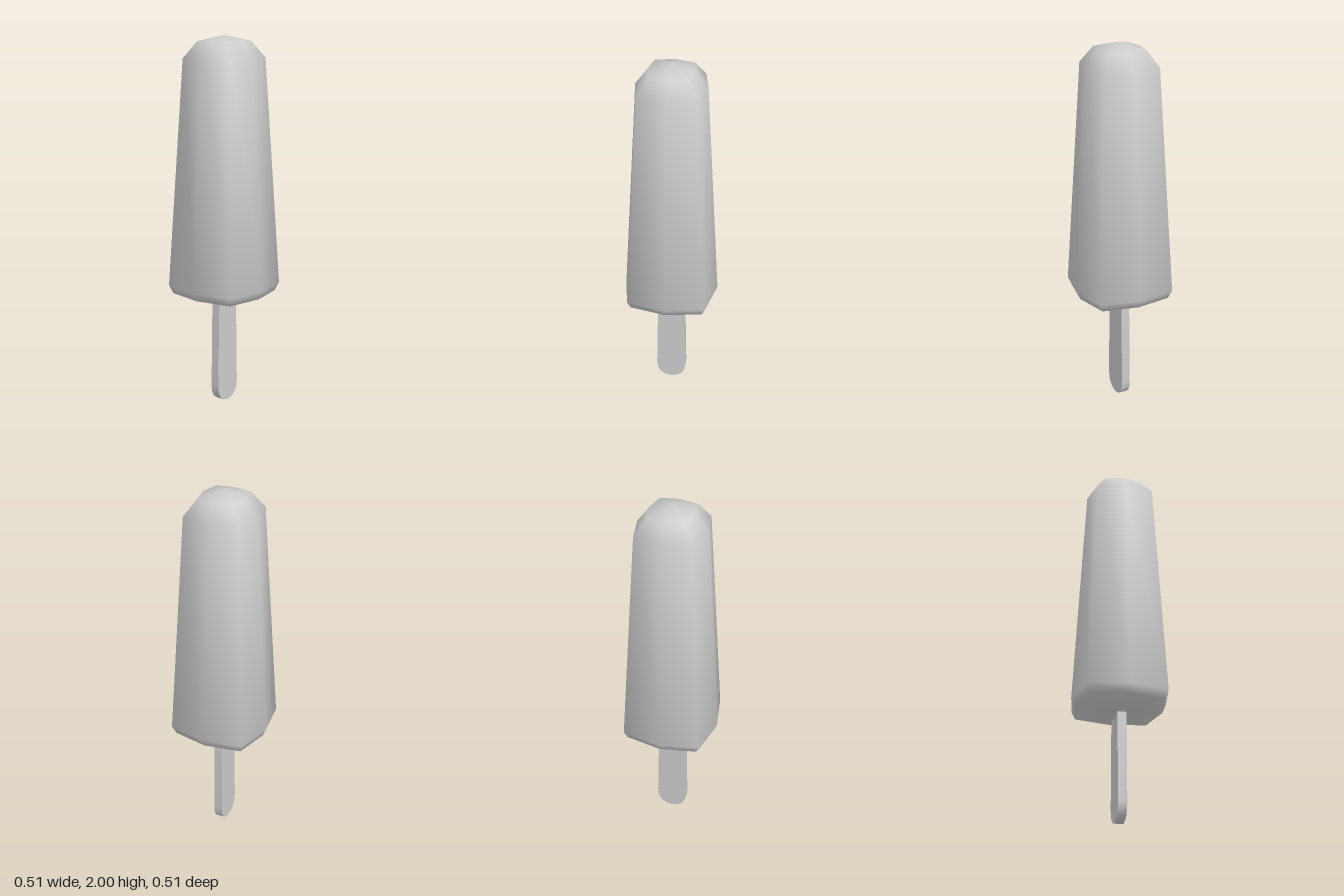
import * as THREE from 'three';
import { toCreasedNormals } from 'three/addons/utils/BufferGeometryUtils.js';

const SIDES = 8;

// Closed smooth body from [radius, height] rows, bottom pole to top pole.
// Odd points are pushed out into rounded-square corners.
function squareLoft(profile) {
  const pos = [], normal = [], index = [];
  const last = profile.length - 1;
  // Outward direction of one profile segment in the (radius, height) plane
  const segment = (i) => {
    const [r0, y0] = profile[i], [r1, y1] = profile[i + 1];
    return new THREE.Vector2(y1 - y0, r0 - r1).normalize();
  };
  profile.forEach(([r, y], i) => {
    // Neighbouring segments count equally, which rounds the shading
    let n;
    if (i === 0) n = new THREE.Vector2(0, -1);
    else if (i === last) n = new THREE.Vector2(0, 1);
    else n = segment(i - 1).add(segment(i)).normalize();
    for (let j = 0; j < SIDES; j++) {
      const a = (j / SIDES) * Math.PI * 2;
      const k = j % 2 ? r * 0.835 * Math.SQRT2 : r;
      pos.push(Math.sin(a) * k, y, Math.cos(a) * k);
      normal.push(Math.sin(a) * n.x, n.y, Math.cos(a) * n.x);
    }
  });
  for (let i = 0; i < last; i++) {
    for (let j = 0; j < SIDES; j++) {
      const a = i * SIDES + j, b = i * SIDES + ((j + 1) % SIDES);
      if (i > 0) index.push(a, b, a + SIDES);
      if (i < last - 1) index.push(b, b + SIDES, a + SIDES);
    }
  }
  const g = new THREE.BufferGeometry();
  g.setAttribute('position', new THREE.Float32BufferAttribute(pos, 3));
  g.setAttribute('normal', new THREE.Float32BufferAttribute(normal, 3));
  g.setIndex(index);
  return g;
}

export function createModel() {
  const group = new THREE.Group();
  const material = new THREE.MeshStandardMaterial({ color: 0xcccccc });
  const add = (name, geometry) => {
    const mesh = new THREE.Mesh(geometry, material);
    mesh.name = name;
    group.add(mesh);
  };

  // Tapered ice block with a domed top and shallow pointed base
  add('iceBody', squareLoft([
    [0, 0.555], [0.235, 0.615], [0.255, 0.66], [0.184, 1.88], [0.12, 1.968], [0, 2],
  ]));

  // Flat stick, slightly wider towards its rounded end
  const right = [[0.036, 0.008], [0.063, 0.028], [0.078, 0.058], [0.082, 0.097], [0.073, 0.557], [0.07, 0.717]];
  const outline = [[0, 0], ...right, ...right.map(([x, y]) => [-x, y]).reverse()];
  const stick = new THREE.ExtrudeGeometry(
    new THREE.Shape(outline.map(([x, y]) => new THREE.Vector2(x, y))),
    { depth: 0.048, bevelEnabled: false },
  );
  stick.translate(0, 0, -0.024);
  add('stick', toCreasedNormals(stick, 0.7));

  return group;
}
